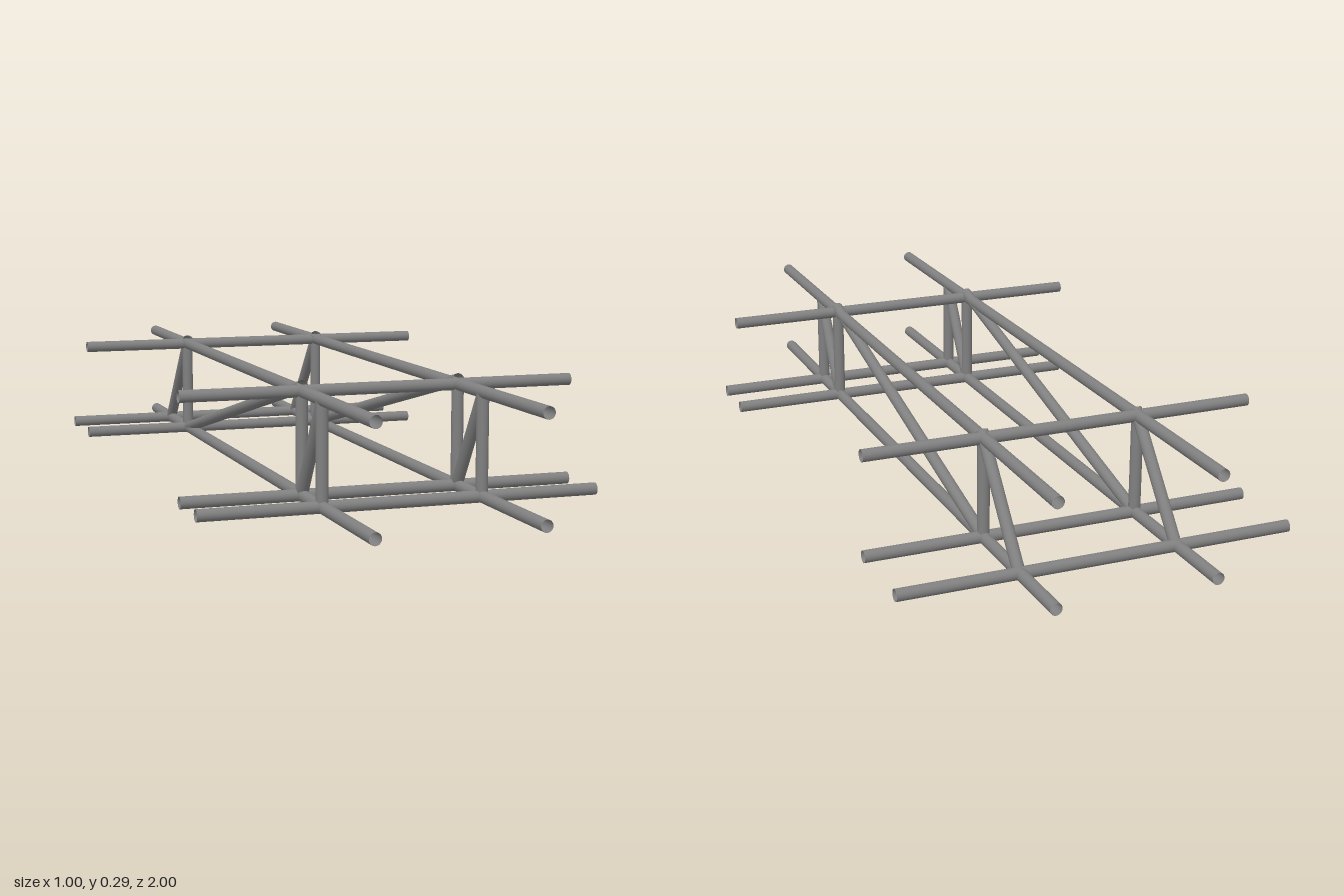
import * as THREE from 'three';

const R = 0.015;      // tube radius
const LOW = 0.015;    // axis height of the lower tubes
const HIGH = 0.265;   // axis height of the upper tubes
const UP = new THREE.Vector3(0, 1, 0);

export function createModel() {
  const model = new THREE.Group();
  const material = new THREE.MeshStandardMaterial({ color: 0x808080, side: THREE.DoubleSide });

  // Open-ended round tube between two points
  function tube(name, from, to, parent) {
    const a = new THREE.Vector3(...from);
    const b = new THREE.Vector3(...to);
    const axis = b.clone().sub(a);
    const mesh = new THREE.Mesh(new THREE.CylinderGeometry(R, R, axis.length(), 20, 1, true), material);
    mesh.name = name;
    mesh.position.copy(a).add(b).multiplyScalar(0.5);
    mesh.quaternion.setFromUnitVectors(UP, axis.normalize());
    parent.add(mesh);
  }

  // Left and right trusses
  for (const [side, x] of [['left', 0.2], ['right', -0.2]]) {
    const truss = new THREE.Group();
    truss.name = side + 'Truss';
    tube('lowerRail', [x, LOW, -1], [x, LOW, 1], truss);
    tube('upperRail', [x, HIGH, -1], [x, HIGH, 1], truss);

    for (const z of [0.65, 0.5, -0.59]) tube('post', [x, LOW, z], [x, HIGH, z], truss);

    tube('frontBrace', [x, HIGH - 0.005, 0.65], [x, LOW, 0.5], truss);
    tube('longBrace', [x, 0.277, 0.505], [x, LOW, -0.59], truss);
    tube('rearBrace', [x, 0.279, -0.58], [x, LOW, -0.8], truss);
    model.add(truss);
  }

  // Cross tubes joining the trusses
  for (const z of [0.65, 0.5, -0.59, -0.805]) tube('lowerCrossTube', [-0.5, LOW, z], [0.5, LOW, z], model);
  for (const z of [0.5, -0.59]) tube('upperCrossTube', [-0.5, HIGH, z], [0.5, HIGH, z], model);

  return model;
}
